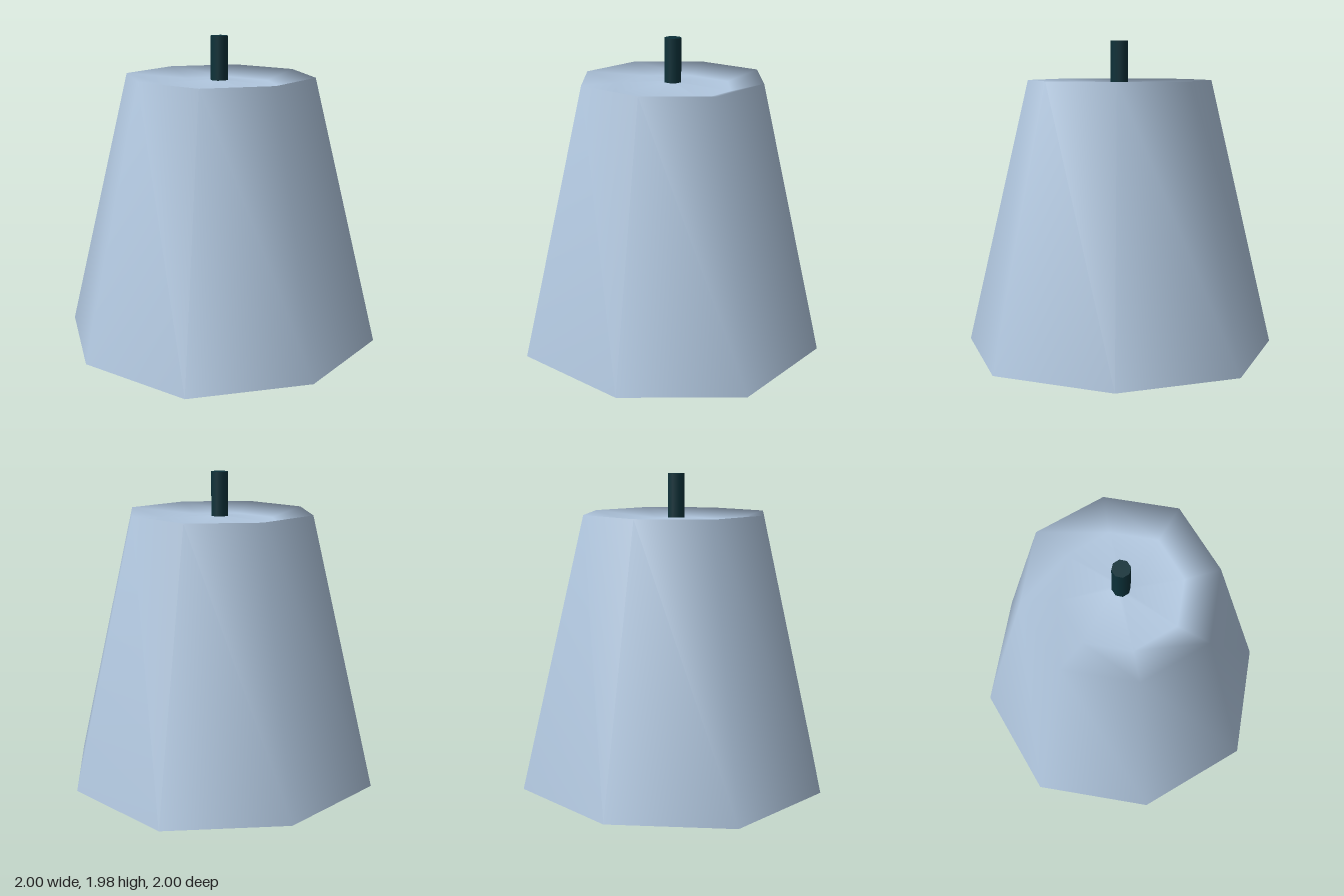
import * as THREE from 'three';
import { mergeVertices } from 'three/addons/utils/BufferGeometryUtils.js';

const SIDES = 8;

// Eight-sided lathe with one smooth skin and slightly pushed-out diagonal corners
function octagonLathe(profile) {
  const lathe = new THREE.LatheGeometry(profile.map(([r, y]) => new THREE.Vector2(r, y)), SIDES);
  lathe.deleteAttribute('normal');
  lathe.deleteAttribute('uv');
  const pos = lathe.attributes.position;
  for (let i = 0; i < pos.count; i++) {
    const x = pos.getX(i), z = pos.getZ(i);
    const diagonal = Math.abs(Math.abs(x) - Math.abs(z)) < 1e-4;
    const k = diagonal ? 1.035 : 1;
    pos.setXYZ(i, x * k, pos.getY(i), z * k);
  }
  const geometry = mergeVertices(lathe, 1e-4);
  geometry.computeVertexNormals();
  return geometry;
}

export function createModel() {
  const wax = new THREE.MeshStandardMaterial({ color: 0xb0c6de, side: THREE.DoubleSide });
  wax.name = 'paleBlueWax';
  const cord = new THREE.MeshStandardMaterial({ color: 0x0c3139 });
  cord.name = 'darkTealCord';

  const group = new THREE.Group();
  group.name = 'candle';

  // Tapered hollow body, open below, with a shallow trough around the wick
  const body = new THREE.Mesh(octagonLathe([
    [1, 0],
    [0.59, 1.725],
    [0.38, 1.665],
    [0.03, 1.7],
  ]), wax);
  body.name = 'waxBody';
  group.add(body);

  // Short upright wick
  const bottom = 1.68, top = 1.975;
  const wick = new THREE.Mesh(
    new THREE.CylinderGeometry(0.056, 0.056, top - bottom, SIDES), cord);
  wick.name = 'wick';
  wick.position.y = (top + bottom) / 2;
  group.add(wick);

  return group;
}
